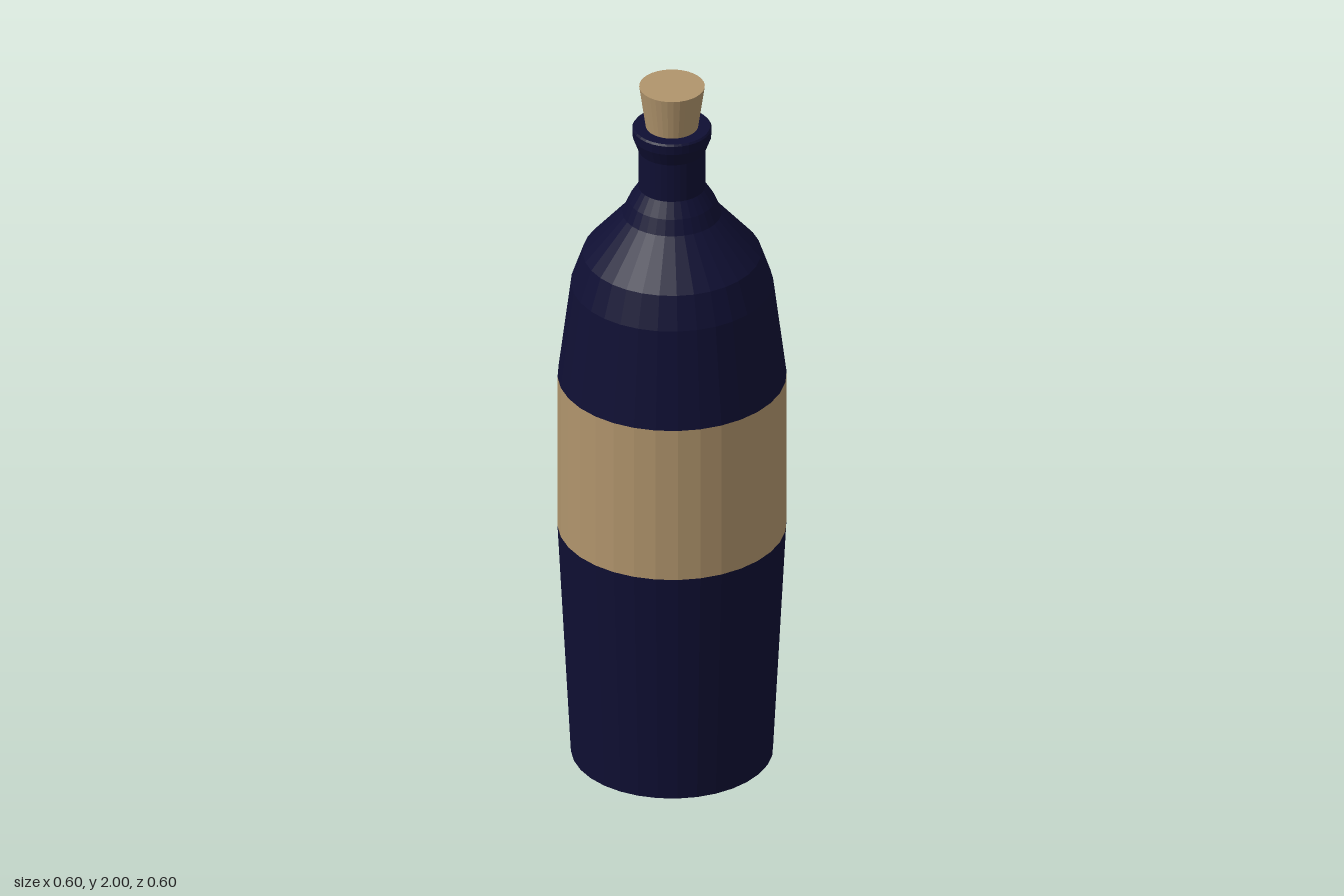
import * as THREE from 'three';

const SIDES = 32;

// Turns a list of [radius, height] pairs (bottom to top) into a faceted ring of faces.
function turned(name, profile, material) {
  const points = profile.map(([r, y]) => new THREE.Vector2(r, y));
  const geometry = new THREE.LatheGeometry(points, SIDES).toNonIndexed();
  geometry.computeVertexNormals();
  const mesh = new THREE.Mesh(geometry, material);
  mesh.name = name;
  return mesh;
}

export function createModel() {
  const glass = new THREE.MeshStandardMaterial({ color: 0x0f0f33 });
  glass.name = 'dark blue glass';
  const tan = new THREE.MeshStandardMaterial({ color: 0xb0946c });
  tan.name = 'tan cork and paper';

  const bottle = new THREE.Group();
  bottle.name = 'bottle';
  bottle.add(
    // Closed base and tapering lower body
    turned('lowerBody', [[0, 0], [0.265, 0], [0.3, 0.68]], glass),
    // Straight label band
    turned('label', [[0.3, 0.68], [0.3, 1.13]], tan),
    // Upper body, shoulder, neck and flared lip
    turned('shoulderAndNeck', [
      [0.3, 1.13], [0.265, 1.41], [0.234, 1.5], [0.13, 1.62], [0.113, 1.66],
      [0.088, 1.7], [0.088, 1.81], [0.103, 1.85], [0.104, 1.875], [0.1, 1.88], [0.06, 1.88],
    ], glass),
    // Tapered stopper
    turned('cork', [[0.066, 1.86], [0.086, 2], [0, 2]], tan),
  );
  return bottle;
}
